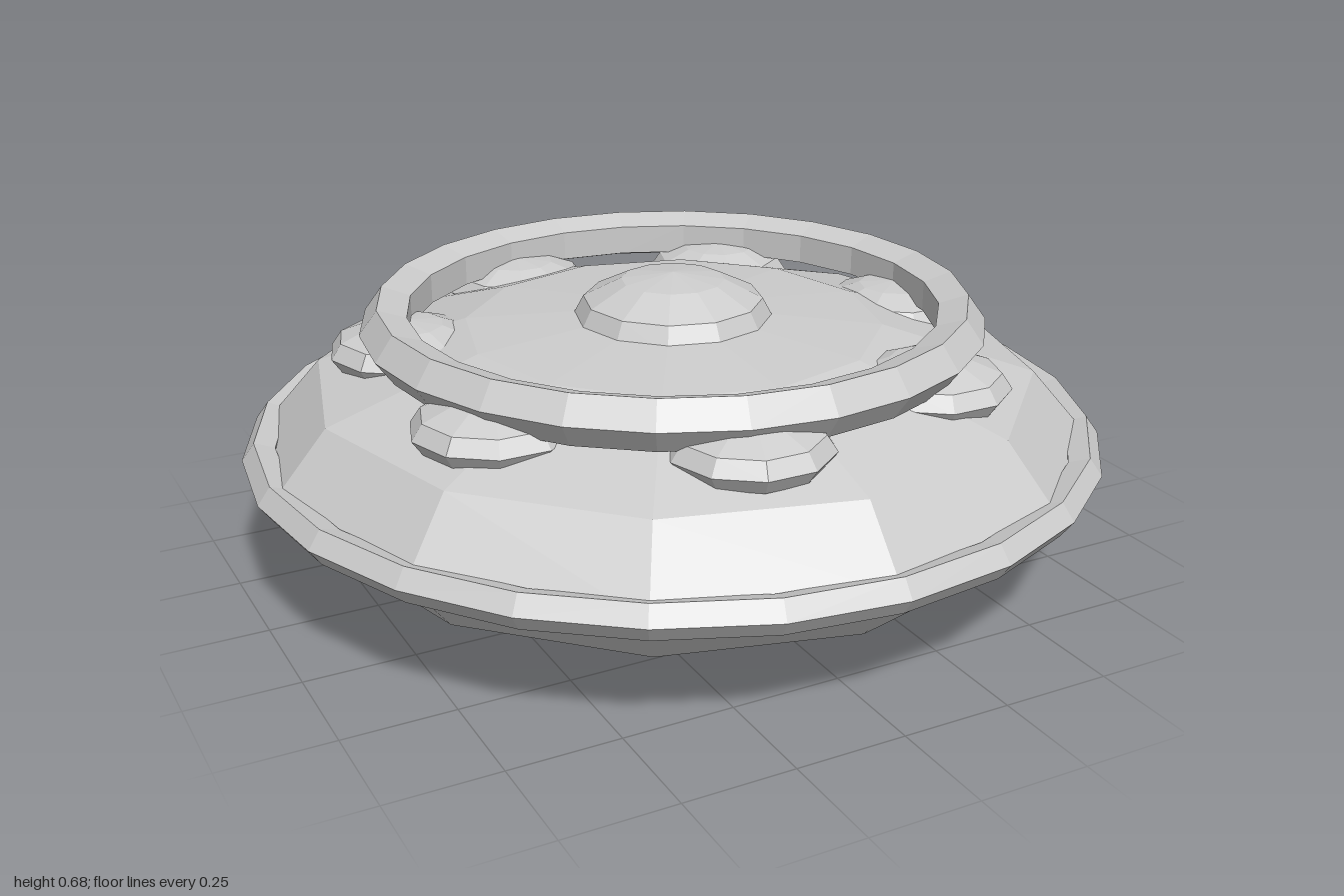
import * as THREE from 'three';

const hullGrey = new THREE.MeshStandardMaterial({ color: 0xcccccc, flatShading: true });
hullGrey.name = 'hullGrey';

// Flattened low-poly sphere
function disc(name, radius, halfHeight, sides, x, y, z) {
  const geometry = new THREE.SphereGeometry(radius, sides, 6);
  geometry.scale(1, halfHeight / radius, 1);
  const mesh = new THREE.Mesh(geometry, hullGrey);
  mesh.name = name;
  mesh.position.set(x, y, z);
  return mesh;
}

// Horizontal ring with a five-sided section
function ring(name, radius, tube, y) {
  const geometry = new THREE.TorusGeometry(radius, tube, 5, 24);
  geometry.rotateX(Math.PI / 2);
  const mesh = new THREE.Mesh(geometry, hullGrey);
  mesh.name = name;
  mesh.position.y = y;
  return mesh;
}

export function createModel() {
  const saucer = new THREE.Group();
  saucer.name = 'saucer';

  // Hull, outer rim, raised ring and top dome
  saucer.add(disc('hull', 0.97, 0.3, 12, 0, 0.3, 0));
  saucer.add(ring('outerRim', 0.958, 0.042, 0.3));
  saucer.add(ring('upperRing', 0.66, 0.06, 0.578));
  saucer.add(disc('topDome', 0.24, 0.12, 12, 0, 0.56, 0));

  // Seven lamps beneath the raised ring
  const lamps = new THREE.Group();
  lamps.name = 'lamps';
  for (let i = 0; i < 7; i++) {
    const a = (i / 7) * Math.PI * 2;
    lamps.add(disc('lamp', 0.18, 0.07, 10, 0.62 * Math.cos(a), 0.5, 0.62 * Math.sin(a)));
  }
  saucer.add(lamps);

  return saucer;
}
